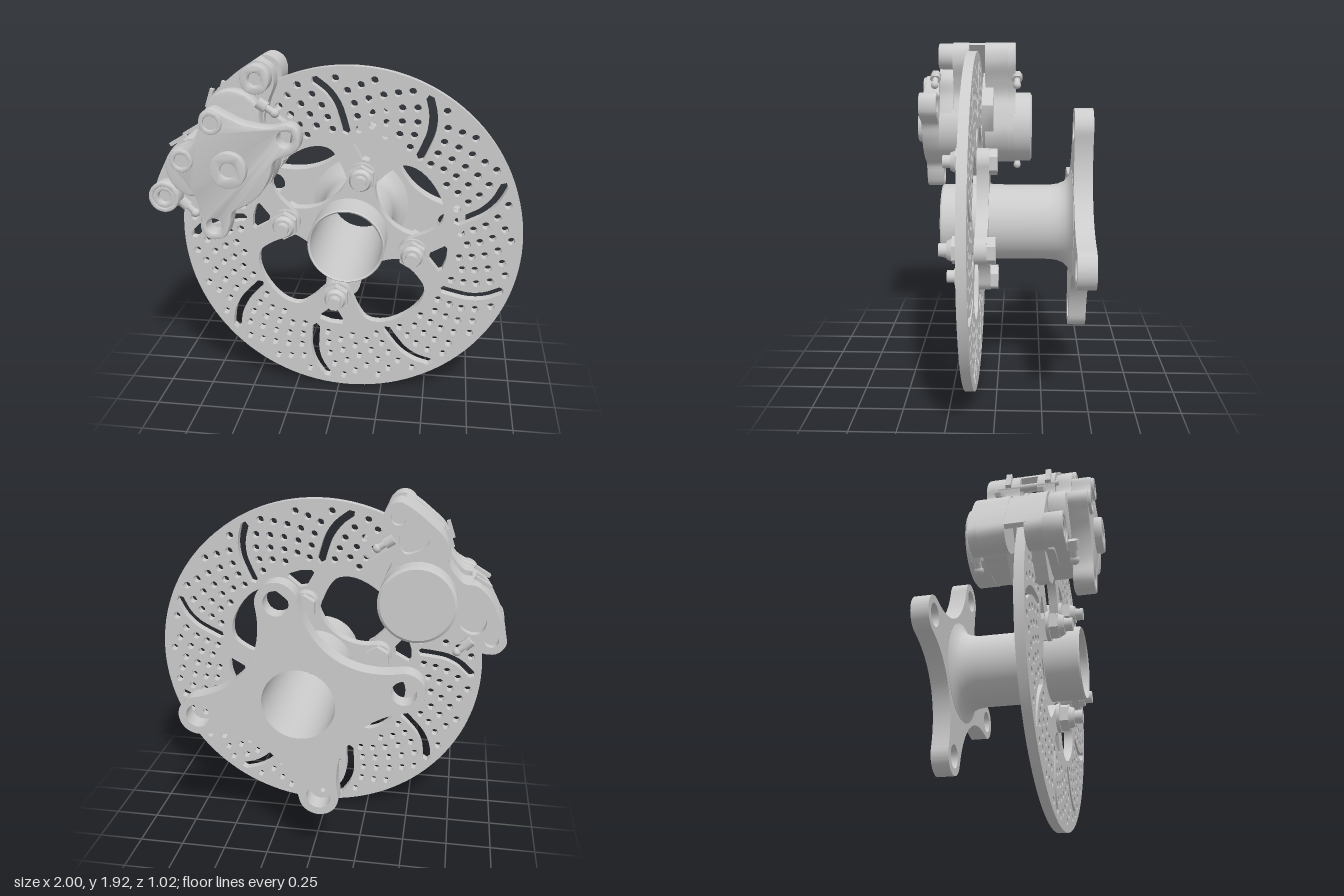
import * as THREE from 'three';
import { toCreasedNormals } from 'three/addons/utils/BufferGeometryUtils.js';

const MAT = new THREE.MeshStandardMaterial({ color: 0xcccccc, side: THREE.DoubleSide });
const RAD = Math.PI / 180;
const BOLT_ANGLE = 79; // first bolt arm, the others follow every 90 degrees

const add = (parent, geo, name, x = 0, y = 0, z = 0) => {
  const m = new THREE.Mesh(geo, MAT);
  m.name = name;
  m.position.set(x, y, z);
  parent.add(m);
  return m;
};
const polar = (r, deg) => new THREE.Vector2(r * Math.cos(deg * RAD), r * Math.sin(deg * RAD));

// Closed smooth outline through a few points
const smooth = (pts, n = 60) => {
  const c = new THREE.CatmullRomCurve3(pts.map(p => new THREE.Vector3(p.x, p.y, 0)), true);
  return c.getPoints(n).slice(0, -1).map(p => new THREE.Vector2(p.x, p.y));
};
// Mirrors a right-hand outline (bottom to top, end points on the axis) across x = 0
const mirrored = half => {
  const right = half.map(([x, y]) => new THREE.Vector2(x, y));
  const left = right.slice(1, -1).reverse().map(p => new THREE.Vector2(-p.x, p.y));
  return [...right, ...left];
};
const circle = (x, y, r, n = 12) =>
  new THREE.Path(Array.from({ length: n }, (_, i) => polar(r, i * 360 / n).add(new THREE.Vector2(x, y))));

// Flat plate from z0 to z1, with an optional edge bevel
const plate = (parent, name, shape, z0, z1, bevel = 0) => {
  const geo = new THREE.ExtrudeGeometry(shape, {
    depth: z1 - z0 - 2 * bevel, curveSegments: 20, bevelEnabled: bevel > 0,
    bevelSize: bevel, bevelThickness: bevel, bevelOffset: -bevel, bevelSegments: 2
  });
  geo.translate(0, 0, z0 + bevel);
  return add(parent, toCreasedNormals(geo, 0.6), name);
};
// Cylinder lying along z
const rod = (parent, name, r, z0, z1, x = 0, y = 0, sides = 28, rBack = r) => {
  const geo = new THREE.CylinderGeometry(r, rBack, z1 - z0, sides).rotateX(Math.PI / 2);
  return add(parent, sides < 9 ? toCreasedNormals(geo, 0.5) : geo, name, x, y, (z0 + z1) / 2);
};
// Ring with a bore, lying along z
const ring = (parent, name, r, bore, z0, z1, x = 0, y = 0) => {
  const s = new THREE.Shape(circle(x, y, r, 32).getPoints());
  s.holes.push(circle(x, y, bore, 24));
  return plate(parent, name, s, z0, z1, 0.006);
};

function brakeDisc(parent) {
  const g = new THREE.Group();
  g.name = 'brakeDisc';
  const disc = new THREE.Shape(circle(0, 0, 0.944, 120).getPoints());

  // Central opening: four windows separated by bolt ears
  const opening = [];
  const edge = [[0, 0.285], [9, 0.305], [14, 0.36], [18, 0.44], [23, 0.515], [32, 0.55], [45, 0.558],
    [58, 0.55], [67, 0.515], [72, 0.44], [76, 0.36], [81, 0.305]];
  for (let k = 0; k < 4; k++)
    for (const [a, r] of edge) opening.push(polar(r, BOLT_ANGLE + k * 90 + a));
  disc.holes.push(new THREE.Path(smooth(opening, 160)));

  // Triangular holes outside the bolts
  for (let k = 0; k < 4; k++) {
    const a = BOLT_ANGLE + k * 90;
    const pts = [[0.455, -2.5], [0.455, 2.5], [0.53, 8.5], [0.545, 7], [0.55, 0], [0.545, -7], [0.53, -8.5]];
    disc.holes.push(new THREE.Path(pts.map(([r, t]) => polar(r, a + t))));
  }

  // Curved slots with rows of drilled holes following the same sweep
  const sweep = r => 91.5 + 3.5 * (r - 0.6) / 0.163 + Math.max(0, r - 0.72) ** 2 * 150;
  for (let k = 0; k < 9; k++) {
    const turn = k * 40;
    const line = new THREE.SplineCurve([0.6, 0.675, 0.75, 0.825, 0.89].map(r => polar(r, sweep(r) + turn)));
    const sideA = [], sideB = [];
    for (let i = 0; i <= 10; i++) {
      const p = line.getPoint(i / 10), t = line.getTangent(i / 10);
      const n = new THREE.Vector2(-t.y, t.x).multiplyScalar(0.023);
      sideA.push(p.clone().add(n));
      sideB.unshift(p.clone().sub(n));
    }
    const cap = (u, s) => line.getPoint(u).addScaledVector(line.getTangent(u), s * 0.02);
    disc.holes.push(new THREE.Path([...sideA, cap(1, 1), ...sideB, cap(0, -1)]));
    for (let row = 1; row <= 5; row++) {
      const count = row % 2 ? 5 : 4;
      for (let i = 0; i < count; i++) {
        const r = 0.615 + (i + (row % 2 ? 0 : 0.5)) * 0.067;
        const p = polar(r, sweep(r) + turn - row * 6.67);
        disc.holes.push(circle(p.x, p.y, 0.021, 10));
      }
    }
  }
  plate(g, 'discPlate', disc, 0.112, 0.163);
  parent.add(g);
}

// Four-armed star with round lobes
const star = (dist, r, pull, bore, lobeHole) => {
  const s = new THREE.Shape();
  for (let k = 0; k < 4; k++) {
    const a = BOLT_ANGLE + k * 90;
    const c = polar(dist, a);
    const at = (x, y) => new THREE.Vector2(x, y).rotateAround(new THREE.Vector2(), a * RAD);
    if (k === 0) { const p = at(dist, -r); s.moveTo(p.x, p.y); }
    s.absarc(c.x, c.y, r, (a - 90) * RAD, (a + 90) * RAD, false);
    const c1 = at(pull, r), c2 = at(r, pull), e = at(r, dist);
    s.bezierCurveTo(c1.x, c1.y, c2.x, c2.y, e.x, e.y);
    s.holes.push(circle(c.x, c.y, lobeHole, 24));
  }
  s.holes.push(circle(0, 0, bore, 48));
  return s;
};

function hub(parent) {
  const g = new THREE.Group();
  g.name = 'hub';
  // Tube with a flared back end
  const prof = [[0.195, -0.42], [0.295, -0.42], [0.295, -0.408], [0.258, -0.395], [0.232, -0.37], [0.217, -0.335],
    [0.21, -0.29], [0.21, 0.302], [0.204, 0.31], [0.195, 0.302], [0.195, -0.42]];
  const tube = new THREE.LatheGeometry(prof.map(p => new THREE.Vector2(...p)), 56).rotateX(Math.PI / 2);
  add(g, toCreasedNormals(tube, 0.6), 'hubTube');
  plate(g, 'wheelFlange', star(0.553, 0.108, 0.29, 0.195, 0.066), -0.51, -0.41);
  plate(g, 'discCarrier', star(0.36, 0.075, 0.2, 0.2, 0.03), 0.045, 0.112);

  // Bolts holding the disc to the carrier
  for (let k = 0; k < 4; k++) {
    const { x, y } = polar(0.36, BOLT_ANGLE + k * 90);
    const b = new THREE.Group();
    b.name = 'discBolt';
    b.position.set(x, y, 0);
    rod(b, 'boltHead', 0.074, 0, 0.046, 0, 0, 6);
    rod(b, 'washer', 0.08, 0.163, 0.182);
    rod(b, 'nut', 0.076, 0.182, 0.23, 0, 0, 6);
    rod(b, 'nutCollar', 0.05, 0.23, 0.258, 0, 0, 24, 0.062);
    rod(b, 'stud', 0.036, 0.04, 0.302, 0, 0, 20);
    g.add(b);
  }
  parent.add(g);
}

function caliper(parent) {
  // Local axes: y points outward from the disc centre, x runs along its rim
  const g = new THREE.Group();
  g.name = 'caliper';
  g.rotation.z = 51 * RAD;

  const outline = smooth(mirrored([[0, 0.53], [0.12, 0.565], [0.195, 0.66], [0.25, 0.755], [0.34, 0.8], [0.44, 0.835],
    [0.49, 0.9], [0.475, 0.97], [0.41, 1.003], [0.3, 1.03], [0.2, 1.045], [0.12, 1.03], [0.07, 0.985], [0, 0.975]]), 110);
  const core = smooth(mirrored([[0, 0.53], [0.12, 0.565], [0.195, 0.66], [0.25, 0.755], [0.32, 0.83],
    [0.31, 0.95], [0.24, 1.025], [0.15, 1.03], [0.07, 0.985], [0, 0.975]]), 90);

  plate(g, 'frontHalf', new THREE.Shape(outline), 0.185, 0.28);
  plate(g, 'frontHousing', new THREE.Shape(core), 0.28, 0.37, 0.012);
  plate(g, 'backHalf', new THREE.Shape(outline), -0.045, 0.09);

  // Back face with pockets and bolt holes
  const face = new THREE.Shape(outline);
  for (const s of [-1, 1]) {
    const pocket = [[0.245, 0.83], [0.32, 0.85], [0.345, 0.9], [0.31, 0.96], [0.22, 0.975], [0.21, 0.9]];
    face.holes.push(new THREE.Path(smooth(pocket.map(([x, y]) => new THREE.Vector2(s * x, y)), 24)));
    face.holes.push(circle(s * 0.412, 0.918, 0.04, 16));
  }
  plate(g, 'backFace', face, -0.09, -0.045);

  // Bridges over the disc edge
  for (const s of [-1, 1]) {
    const b = [[0.19, 0.965], [0.4, 0.962], [0.462, 0.962], [0.458, 0.985], [0.41, 1.002], [0.3, 1.03], [0.2, 1.044]];
    plate(g, 'bridge', new THREE.Shape(b.map(([x, y]) => new THREE.Vector2(s * x, y))), 0.08, 0.2);
  }

  // Piston housings
  rod(g, 'backPistonCap', 0.21, -0.18, -0.08, 0, 0.737, 56);
  rod(g, 'backPistonFace', 0.21, -0.19, -0.18, 0, 0.737, 56, 0.195);
  rod(g, 'frontPistonHousing', 0.21, 0.185, 0.37, 0, 0.737, 56);

  // Front mounting bracket with four lobes
  const bracket = new THREE.Shape(smooth(mirrored([[0, 0.535], [0.1, 0.553], [0.18, 0.585], [0.25, 0.552], [0.32, 0.535],
    [0.383, 0.59], [0.375, 0.65], [0.3, 0.71], [0.23, 0.82], [0.2, 0.93], [0.18, 1.0], [0.125, 1.018],
    [0.07, 0.985], [0, 0.965]]), 100));
  for (const s of [-1, 1]) bracket.holes.push(circle(s * 0.308, 0.614, 0.042, 20));
  plate(g, 'mountingBracket', bracket, 0.365, 0.47, 0.008);
  ring(g, 'adjusterBoss', 0.095, 0.04, 0.46, 0.51, 0, 0.737);
  rod(g, 'adjusterCore', 0.045, 0.46, 0.49, 0, 0.737);

  for (const s of [-1, 1]) {
    // Bracket screws
    ring(g, 'bracketScrew', 0.06, 0.036, 0.46, 0.485, s * 0.13, 0.952);
    rod(g, 'screwSocket', 0.04, 0.46, 0.474, s * 0.13, 0.952, 6);
    // Clamp bolts: the upper one stands proud, the lower one sits in a full-depth boss
    if (s < 0) ring(g, 'clampBoss', 0.083, 0.06, 0.27, 0.37, s * 0.412, 0.918);
    ring(g, 'clampBolt', s > 0 ? 0.075 : 0.062, 0.035, 0.27, 0.365, s * 0.412, 0.918);
    rod(g, 'clampBoltSocket', 0.038, 0.27, 0.33, s * 0.412, 0.918, 6);
    // Pad retaining pins
    rod(g, 'padPin', 0.018, -0.03, 0.3, s * 0.12, 1.01, 16);
    for (const z of [0.03, 0.245])
      add(g, new THREE.BoxGeometry(0.1, 0.02, 0.03), 'padClip', s * 0.15, 1.05, z).rotation.z = s * 0.35;
    // Bleed nipples
    for (const z of [-0.1, 0.385]) {
      const n = new THREE.Group();
      n.name = 'bleedNipple';
      n.position.set(s * 0.345, 0.83, z);
      n.rotation.z = s * 0.1;
      add(n, new THREE.CylinderGeometry(0.032, 0.032, 0.05, 6), 'nippleHex', 0, -0.02, 0);
      add(n, new THREE.CylinderGeometry(0.018, 0.018, 0.08, 14), 'nippleStem', 0, -0.06, 0);
      add(n, new THREE.SphereGeometry(0.024, 14, 10), 'nippleTip', 0, -0.095, 0);
      g.add(n);
    }
  }

  // Brake pads on both sides of the disc
  const pad = mirrored([[0, 0.57], [0.22, 0.575], [0.3, 0.62], [0.29, 0.8], [0.25, 0.95], [0, 0.965]]);
  plate(g, 'frontPad', new THREE.Shape(pad), 0.167, 0.235);
  plate(g, 'backPad', new THREE.Shape(pad), 0.04, 0.108);
  parent.add(g);
}

export function createModel() {
  const model = new THREE.Group();
  model.name = 'discBrakeAssembly';
  const axle = new THREE.Group();
  axle.name = 'axleAssembly';
  axle.position.set(0.057, 0.945, 0);
  brakeDisc(axle);
  hub(axle);
  caliper(axle);
  model.add(axle);
  return model;
}
